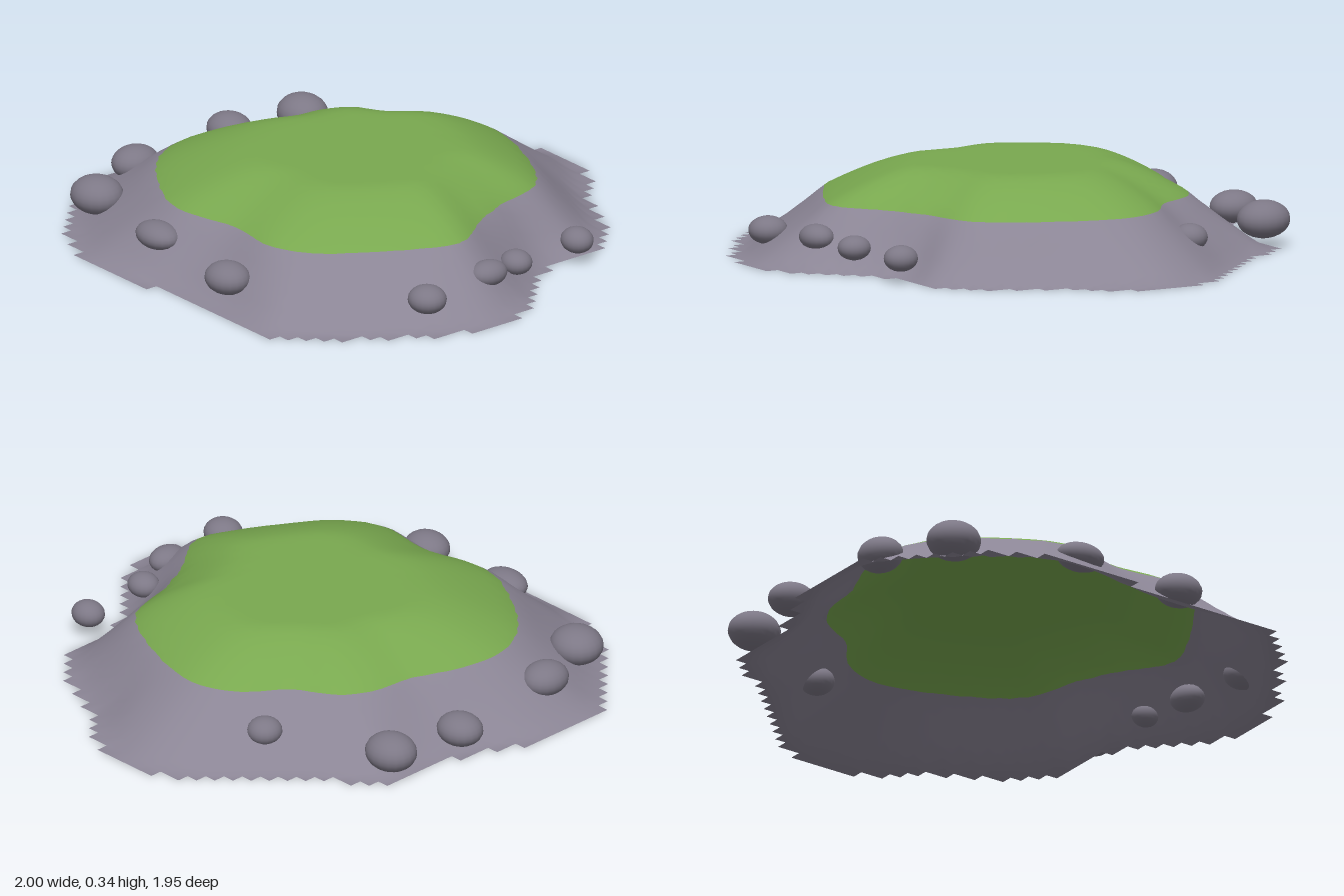
import * as THREE from 'three';

const TOP = 0.335, GRASS_LINE = 0.208;

// Closed smooth outline (x, z pairs) turned into a radius-by-angle lookup
function radiusLookup(pairs) {
  const pts = [];
  for (let i = 0; i < pairs.length; i += 2) pts.push(new THREE.Vector3(pairs[i], 0, pairs[i + 1]));
  const polar = new THREE.CatmullRomCurve3(pts, true).getPoints(300)
    .map((p) => [Math.atan2(p.z, p.x), Math.hypot(p.x, p.z)])
    .sort((a, b) => a[0] - b[0]);
  const first = polar[0], last = polar[polar.length - 1];
  polar.unshift([last[0] - 2 * Math.PI, last[1]]);
  polar.push([first[0] + 2 * Math.PI, first[1]]);
  return (angle) => {
    const k = Math.max(1, polar.findIndex((p) => p[0] >= angle));
    const [a0, r0] = polar[k - 1], [a1, r1] = polar[k];
    return r0 + (r1 - r0) * (angle - a0) / Math.max(a1 - a0, 1e-6);
  };
}

// Foot of the slope and edge of the grass
const footRadius = radiusLookup([
  0.97, 0.2, 0.93, 0.38, 0.85, 0.52, 0.74, 0.68, 0.62, 0.82, 0.55, 0.9, 0.25, 0.9, 0, 0.91,
  -0.2, 0.95, -0.42, 0.95, -0.58, 0.87, -0.72, 0.77, -0.88, 0.62, -0.97, 0.5, -0.98, 0.25,
  -0.88, 0.02, -0.83, -0.2, -0.82, -0.4, -0.68, -0.5, -0.55, -0.62, -0.38, -0.8, -0.28, -0.89,
  -0.1, -0.955, 0.08, -0.91, 0.24, -0.8, 0.42, -0.7, 0.57, -0.6, 0.65, -0.5, 0.655, -0.3,
  0.72, -0.18, 0.83, -0.06, 0.91, 0.03]);
const grassRadius = radiusLookup([
  0.7, 0.13, 0.65, 0.28, 0.55, 0.46, 0.45, 0.6, 0.3, 0.69, 0.05, 0.68, -0.2, 0.73, -0.4, 0.65,
  -0.62, 0.48, -0.7, 0.3, -0.67, 0.1, -0.61, -0.05, -0.59, -0.2, -0.52, -0.33, -0.37, -0.42,
  -0.25, -0.57, -0.1, -0.64, 0.1, -0.61, 0.37, -0.49, 0.46, -0.4, 0.5, -0.25, 0.58, -0.06]);

// Flat plateau, rounded shoulder, then a nearly straight slope to the ground
function heightAt(x, z) {
  const r = Math.hypot(x, z), angle = Math.atan2(z, x);
  const g = grassRadius(angle), f = footRadius(angle);
  if (r >= f) return 0;
  if (r > g) return GRASS_LINE * Math.pow(1 - (r - g) / (f - g), 1.08);
  const u = Math.max(0, (r / g - 0.53) / 0.47);
  return TOP - (TOP - GRASS_LINE) * Math.pow(u, 1.45);
}

// Square grid of heights; cells wholly at ground level are left out
function buildTerrain() {
  const nx = 43, nz = 42, step = 2 / nx;
  const positions = [], index = [];
  for (let j = 0; j <= nz; j++) {
    for (let i = 0; i <= nx; i++) {
      const x = (i - nx / 2) * step, z = (j - nz / 2) * step;
      positions.push(x, heightAt(x, z), z);
    }
  }
  for (let j = 0; j < nz; j++) {
    for (let i = 0; i < nx; i++) {
      const a = j * (nx + 1) + i, b = a + 1, c = a + nx + 1, d = c + 1;
      if ([a, b, c, d].some((v) => positions[v * 3 + 1] > 0)) index.push(a, c, b, b, c, d);
    }
  }
  const geo = new THREE.BufferGeometry();
  geo.setAttribute('position', new THREE.Float32BufferAttribute(positions, 3));
  geo.setIndex(index);
  geo.computeVertexNormals();
  return geo;
}

// Part of the terrain above (sign 1) or below (sign -1) the grass line
function clipTerrain(geo, sign) {
  const p = geo.attributes.position, n = geo.attributes.normal, idx = geo.index.array;
  const positions = [], normals = [];
  const corner = (v) => ({
    p: new THREE.Vector3().fromBufferAttribute(p, v),
    n: new THREE.Vector3().fromBufferAttribute(n, v),
  });
  for (let t = 0; t < idx.length; t += 3) {
    const tri = [corner(idx[t]), corner(idx[t + 1]), corner(idx[t + 2])];
    const poly = [];
    tri.forEach((a, k) => {
      const b = tri[(k + 1) % 3];
      const da = sign * (a.p.y - GRASS_LINE), db = sign * (b.p.y - GRASS_LINE);
      if (da >= 0) poly.push(a);
      if (da * db < 0) {
        const s = da / (da - db);
        poly.push({ p: a.p.clone().lerp(b.p, s), n: a.n.clone().lerp(b.n, s).normalize() });
      }
    });
    for (let k = 1; k + 1 < poly.length; k++) {
      for (const v of [poly[0], poly[k], poly[k + 1]]) {
        positions.push(...v.p.toArray());
        normals.push(...v.n.toArray());
      }
    }
  }
  const out = new THREE.BufferGeometry();
  out.setAttribute('position', new THREE.Float32BufferAttribute(positions, 3));
  out.setAttribute('normal', new THREE.Float32BufferAttribute(normals, 3));
  return out;
}

export function createModel() {
  const model = new THREE.Group();
  model.name = 'island';
  const grass = new THREE.MeshStandardMaterial({ color: 0x79a84f, side: THREE.DoubleSide });
  grass.name = 'grass green';
  const slope = new THREE.MeshStandardMaterial({ color: 0x8b8595, side: THREE.DoubleSide });
  slope.name = 'slope grey';
  const stone = new THREE.MeshStandardMaterial({ color: 0x7d7886 });
  stone.name = 'boulder grey';

  const add = (name, geo, mat) => {
    const mesh = new THREE.Mesh(geo, mat);
    mesh.name = name;
    model.add(mesh);
    return mesh;
  };

  // Ground
  const terrain = buildTerrain();
  add('grassTop', clipTerrain(terrain, 1), grass);
  add('rockySlope', clipTerrain(terrain, -1), slope);

  // Boulders around the slope: x, y, z, then the three radii
  const boulders = [
    [-0.82, 0.105, -0.36, 0.1, 0.07, 0.09],
    [-0.87, 0.105, -0.06, 0.09, 0.06, 0.08],
    [-0.82, 0.115, 0.42, 0.08, 0.062, 0.092],
    [-0.695, 0.1, 0.7, 0.102, 0.07, 0.095],
    [-0.21, 0.125, 0.81, 0.096, 0.05, 0.07],
    [0.215, 0.1, 0.83, 0.09, 0.06, 0.08],
    [0.82, 0.095, 0.39, 0.073, 0.052, 0.07],
    [0.795, 0.11, 0.085, 0.06, 0.047, 0.075],
    [0.74, 0.09, -0.09, 0.062, 0.045, 0.057],
    [0.72, 0.092, -0.39, 0.064, 0.048, 0.058],
    [-0.385, 0.105, -0.575, 0.065, 0.05, 0.065],
  ];
  const ball = new THREE.SphereGeometry(1, 20, 14);
  boulders.forEach(([x, y, z, rx, ry, rz], i) => {
    const mesh = add(`boulder${i + 1}`, ball, stone);
    mesh.position.set(x, y, z);
    mesh.scale.set(rx, ry, rz);
  });
  return model;
}
